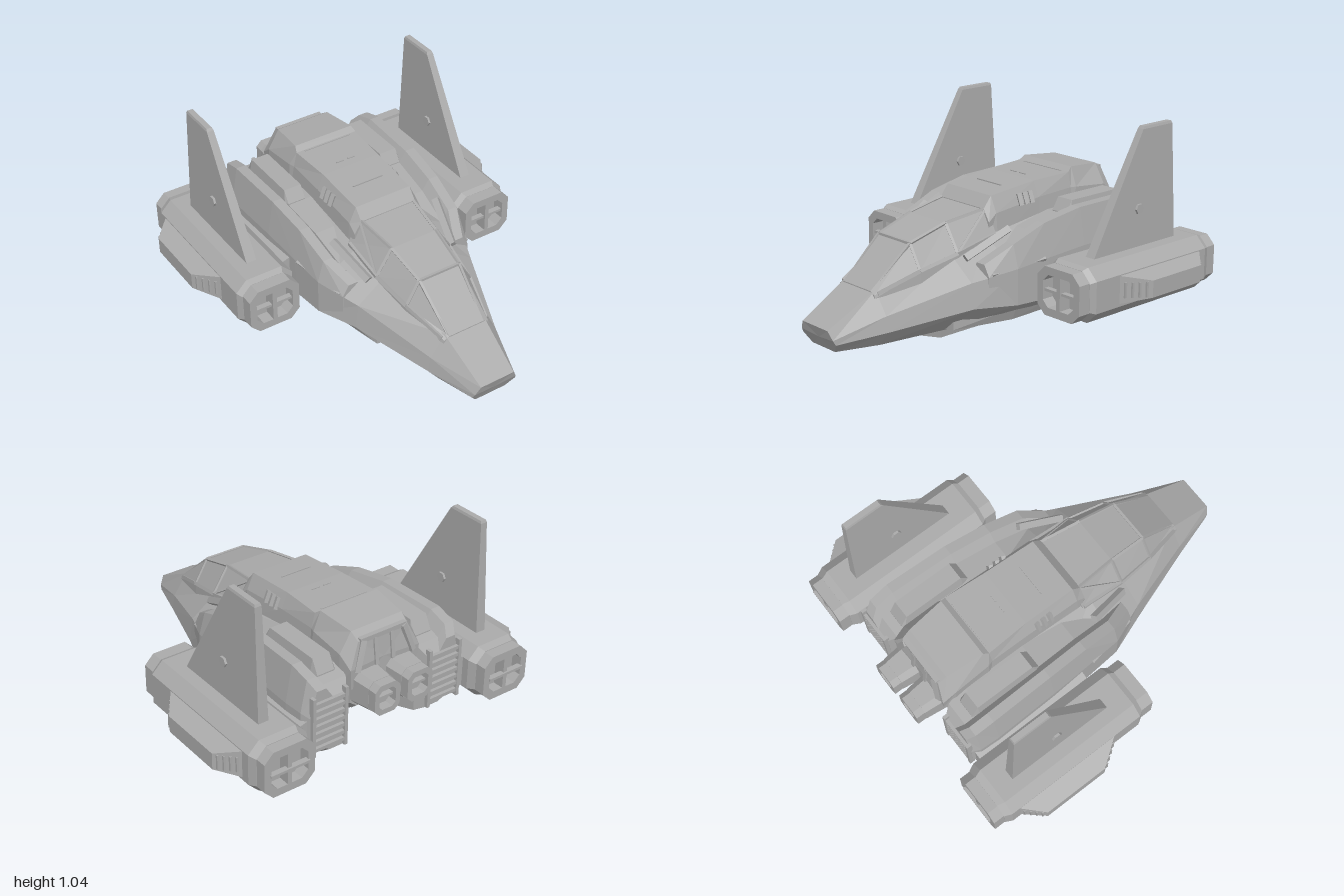
import * as THREE from 'three';

const grey = new THREE.MeshStandardMaterial({ color: 0xaaaaaa, flatShading: true });
grey.name = 'hull grey';

// Skin between closed rings of [x, y, z] points, capped, always facing outward
function loft(rings) {
  const tris = [], n = rings[0].length;
  const R = rings.map(r => r.map(p => new THREE.Vector3(...p)));
  for (let i = 0; i + 1 < R.length; i++) for (let j = 0; j < n; j++) {
    const k = (j + 1) % n, a = R[i][j], b = R[i][k], c = R[i + 1][k], d = R[i + 1][j];
    tris.push([a, b, c], [a, c, d]);
  }
  const cap = (r, flip) => {
    const m = r.reduce((s, p) => s.add(p), new THREE.Vector3()).divideScalar(n);
    r.forEach((p, j) => tris.push(flip ? [m, r[(j + 1) % n], p] : [m, p, r[(j + 1) % n]]));
  };
  cap(R[0], true);
  cap(R[R.length - 1], false);
  const vol = tris.reduce((s, [a, b, c]) => s + a.dot(b.clone().cross(c)), 0);
  const pts = tris.flatMap(([a, b, c]) => (vol < 0 ? [a, c, b] : [a, b, c]));
  const g = new THREE.BufferGeometry().setFromPoints(pts);
  g.computeVertexNormals();
  return g;
}

// Symmetric ring from half a section; a third value shifts the point in z
const half = (z, pts) => [
  ...pts.map(([x, y, dz = 0]) => [x, y, z + dz]),
  ...pts.slice().reverse().map(([x, y, dz = 0]) => [-x, y, z + dz])];
const ring = (z, pts) => pts.map(([x, y]) => [x, y, z]);

// Chamfered rectangle
const octagon = (cx, cy, w, h, c) => [
  [cx - w + c, cy - h], [cx + w - c, cy - h], [cx + w, cy - h + c], [cx + w, cy + h - c],
  [cx + w - c, cy + h], [cx - w + c, cy + h], [cx - w, cy + h - c], [cx - w, cy - h + c]];

const box = (x, y, z, w, h, d) => new THREE.BoxGeometry(w, h, d).translate(x, y, z);

// Square bar between two points
function beam(a, b, t = 0.014) {
  const A = new THREE.Vector3(...a), B = new THREE.Vector3(...b);
  const q = new THREE.Quaternion().setFromUnitVectors(new THREE.Vector3(0, 0, 1), B.clone().sub(A).normalize());
  return new THREE.BoxGeometry(t, t, A.distanceTo(B)).applyQuaternion(q).translate(...A.add(B).multiplyScalar(0.5).toArray());
}

// Plate with openings, extruded along z
function frame(outline, holes, z, depth) {
  const v = p => p.map(([x, y]) => new THREE.Vector2(x, y));
  const s = new THREE.Shape(v(outline));
  holes.forEach(h => s.holes.push(new THREE.Path(v(h))));
  return new THREE.ExtrudeGeometry(s, { depth, bevelEnabled: false }).translate(0, 0, z);
}

function mirrored(geo) {
  const g = geo.index ? geo.toNonIndexed() : geo.clone();
  const p = g.attributes.position;
  for (let i = 0; i < p.count; i += 3) {
    const t = [0, 2, 1].map(k => new THREE.Vector3().fromBufferAttribute(p, i + k));
    t.forEach((v, k) => p.setXYZ(i + k, -v.x, v.y, v.z));
  }
  g.computeVertexNormals();
  return g;
}

export function createModel() {
  const model = new THREE.Group();
  model.name = 'spacecraft';
  const add = (name, geo) => {
    const m = new THREE.Mesh(geo, grey);
    m.name = name;
    model.add(m);
  };
  const pair = (name, geo) => {
    add(name + 'Left', geo);
    add(name + 'Right', mirrored(geo));
  };

  // Lower hull, from blunt nose to narrow tail
  add('hull', loft([
    half(1, [[0.09, 0.065, -0.05], [0.13, 0.115, -0.025], [0.125, 0.14, -0.012], [0.1, 0.187]]),
    half(0.72, [[0.15, 0.06], [0.215, 0.14], [0.2, 0.22], [0.12, 0.335]]),
    half(0.3, [[0.21, 0.06], [0.37, 0.2], [0.35, 0.33], [0.2, 0.44]]),
    half(0.08, [[0.25, 0.06], [0.45, 0.19], [0.44, 0.37], [0.21, 0.5]]),
    half(-0.33, [[0.27, 0.07], [0.46, 0.17], [0.46, 0.38], [0.21, 0.55]]),
    half(-0.55, [[0.2, 0.11], [0.25, 0.15], [0.25, 0.38], [0.2, 0.56]]),
    half(-0.83, [[0.15, 0.33], [0.19, 0.36], [0.19, 0.5], [0.18, 0.56]])]));

  // Belly keel with two skids
  const keel = (x0, x1, y) => loft([[0.52, 0.065], [0.34, y], [-0.4, y], [-0.49, y + 0.02], [-0.53, 0.11]]
    .map(([z, b]) => [[x0, b, z], [x1 - 0.02, b, z], [x1, 0.12, z], [x0, 0.12, z]]));
  add('belly', keel(-0.14, 0.14, 0.03));
  pair('skid', keel(0.1, 0.18, 0.003));
  pair('bellyFlap', loft([
    [[0.2, 0.065, 0.35], [0.27, 0.075, 0.35], [0.27, 0.14, 0.35], [0.2, 0.14, 0.35]],
    [[0.23, 0.05, 0], [0.33, 0.065, 0], [0.36, 0.14, 0], [0.23, 0.14, 0]],
    [[0.23, 0.055, -0.33], [0.33, 0.07, -0.33], [0.36, 0.14, -0.33], [0.23, 0.14, -0.33]]]));

  // Canopy and its frames
  add('canopy', loft([
    half(0.74, [[0.14, 0.3], [0.135, 0.315], [0.105, 0.33]]),
    half(0.5, [[0.2, 0.32], [0.195, 0.4], [0.12, 0.525]]),
    half(0.28, [[0.23, 0.38], [0.225, 0.45], [0.135, 0.59]]),
    half(0.02, [[0.23, 0.42], [0.225, 0.5], [0.16, 0.625]])]));
  const corner = [[0.105, 0.333, 0.72], [0.12, 0.525, 0.5], [0.135, 0.59, 0.28], [0.16, 0.625, 0.03]];
  const sill = [[0.135, 0.32, 0.72], [0.195, 0.4, 0.5], [0.225, 0.45, 0.28], [0.225, 0.5, 0.03]];
  for (let i = 0; i < 3; i++) {
    pair('canopyRail' + i, beam(corner[i], corner[i + 1]));
    pair('canopySill' + i, beam(sill[i], sill[i + 1], 0.018));
  }
  pair('windowPost', beam(sill[1], corner[1]));
  pair('rearWindowPost', beam(sill[2], corner[2]));
  pair('rearWindowBrace', beam(sill[2], corner[3], 0.012));
  corner.slice(0, 2).forEach(([x, y, z], i) => add('windshieldBar' + i, beam([-x, y, z], [x, y, z])));

  // Raised spine behind the cockpit
  add('spine', loft([
    half(0.05, [[0.2, 0.45], [0.205, 0.56], [0.165, 0.625]]),
    half(0, [[0.22, 0.45], [0.205, 0.6], [0.165, 0.685]]),
    half(-0.3, [[0.22, 0.45], [0.205, 0.63], [0.17, 0.713]]),
    half(-0.54, [[0.22, 0.45], [0.205, 0.64], [0.185, 0.72]]),
    half(-0.57, [[0.22, 0.45], [0.215, 0.64], [0.175, 0.743]]),
    half(-0.78, [[0.22, 0.45], [0.22, 0.62], [0.155, 0.725]]),
    half(-0.83, [[0.2, 0.45, -0.02], [0.21, 0.56, -0.025], [0.15, 0.69]])]));
  pair('tailPost', beam([0.17, 0.54, -0.85], [0.12, 0.69, -0.83], 0.03));
  pair('tailRib', beam([0.05, 0.54, -0.85], [0.05, 0.68, -0.83], 0.02));
  add('tailBeam', beam([-0.14, 0.69, -0.825], [0.14, 0.69, -0.825], 0.025));
  add('hatchSeamFront', box(0, 0.7, -0.14, 0.18, 0.008, 0.006));
  add('hatchSeamRear', box(0, 0.719, -0.53, 0.28, 0.008, 0.008));
  pair('hatchLatch', box(0.035, 0.715, -0.35, 0.045, 0.008, 0.007));
  for (let i = 0; i < 3; i++)
    pair('spineVent' + i, beam([0.212, 0.61, -0.17 - i * 0.04], [0.188, 0.67, -0.17 - i * 0.04], 0.022));

  // Side pods with rear grilles
  const pod = (z, xi, xo, yb, ys, yt) => ring(z, [[xi, yb], [xo - 0.12, yb], [xo, yb + 0.06], [xo, ys],
    [xo - 0.035, yt], [xo - 0.09, yt], [xo - 0.13, yt - 0.06], [xi, yt - 0.06]]);
  pair('sidePod', loft([
    pod(0.22, 0.2, 0.39, 0.15, 0.35, 0.41),
    pod(0.08, 0.19, 0.45, 0.13, 0.38, 0.5),
    pod(-0.12, 0.19, 0.465, 0.125, 0.4, 0.575),
    pod(-0.36, 0.19, 0.48, 0.125, 0.42, 0.615),
    pod(-0.72, 0.2, 0.49, 0.125, 0.42, 0.62),
    pod(-0.83, 0.22, 0.485, 0.15, 0.42, 0.59),
    pod(-0.875, 0.25, 0.46, 0.18, 0.4, 0.54)]));
  pair('podTopBox', loft([[-0.36, 0.56], [-0.4, 0.625], [-0.74, 0.625], [-0.78, 0.55]].map(([z, y]) =>
    ring(z, [[0.23, 0.5], [0.37, 0.5], [0.35, y], [0.25, y]]))));
  pair('podIntakeLip', beam([0.26, 0.43, 0.26], [0.32, 0.55, 0.02], 0.035));
  pair('podShoulder', beam([0.39, 0.36, 0.2], [0.46, 0.4, -0.1], 0.02));
  for (let i = 0; i < 7; i++)
    pair('grilleSlat' + i, box(0.355, 0.22 + i * 0.042, -0.88, 0.18, 0.018, 0.025));
  [0.26, 0.45].forEach((x, i) => pair('grilleSide' + i, box(x, 0.35, -0.88, 0.018, 0.33, 0.03)));

  // Twin tail engines with hollow nozzles
  pair('tailEngine', loft([
    ring(-0.78, octagon(0.1, 0.44, 0.095, 0.1, 0.035)),
    ring(-0.95, octagon(0.1, 0.445, 0.078, 0.085, 0.03))]));
  pair('tailNozzle', frame(octagon(0.1, 0.445, 0.076, 0.083, 0.03),
    [octagon(0.1, 0.445, 0.05, 0.055, 0.02)], -1, 0.05));
  pair('nozzleBar', box(0.1, 0.445, -0.965, 0.1, 0.012, 0.03));

  // Outboard nacelles with four-part openings at both ends
  const nx = 0.67, ny = 0.288;
  pair('nacelle', loft([
    ring(-0.05, octagon(nx, ny, 0.145, 0.128, 0.055)),
    ring(-0.08, octagon(nx, ny, 0.163, 0.143, 0.06)),
    ring(-0.9, octagon(nx, ny, 0.163, 0.143, 0.06)),
    ring(-0.94, octagon(nx, ny, 0.145, 0.13, 0.055))]));
  const port = s => [[0.012, -0.085], [0.07, -0.085], [0.105, -0.05], [0.105, 0.05], [0.07, 0.085], [0.012, 0.085]]
    .map(([x, y]) => [nx + s * x, ny + y]);
  [['front', -0.06, 0.01], ['rear', -1, -0.98]].forEach(([end, z, bar]) => {
    pair(end + 'Cap', frame(octagon(nx, ny, 0.143, 0.127, 0.05), [port(1), port(-1)], z, end === 'front' ? 0.08 : 0.07));
    pair(end + 'CapBar', box(nx, ny, bar - 0.015, 0.22, 0.014, 0.03));
  });
  pair('strut', loft([[0.42, 0.04], [0.54, 0]].map(([x, e]) =>
    [[x, 0.22 - e, -0.17], [x, 0.36 + e, -0.17], [x, 0.36 + e, -0.86], [x, 0.22 - e, -0.86]])));

  // Outboard stub wings with slatted slanted ends
  pair('stubWing', loft([[0.8, 0.215, 0.375, -0.21, -0.89], [0.835, 0.22, 0.365, -0.25, -0.85],
    [0.93, 0.245, 0.335, -0.385, -0.75]].map(([x, y0, y1, z0, z1]) =>
    [[x, y0, z0], [x, y1, z0], [x, y1, z1], [x, y0, z1]])));
  for (let i = 0; i < 4; i++) {
    const t = 0.15 + i * 0.22, x = 0.835 + 0.095 * t;
    pair('frontSlat' + i, beam([x, 0.25, -0.25 - 0.135 * t], [x, 0.33, -0.25 - 0.135 * t], 0.012));
    pair('rearSlat' + i, beam([x, 0.25, -0.85 + 0.1 * t], [x, 0.33, -0.85 + 0.1 * t], 0.012));
  }

  // Tall swept fins
  const slab = (y, w, z0, z1) => [[nx + 0.005 - w, y, z0], [nx + 0.005 + w, y, z0], [nx + 0.005 + w, y, z1], [nx + 0.005 - w, y, z1]];
  pair('fin', loft([slab(0.42, 0.029, -0.19, -0.8), slab(1.035, 0.019, -0.545, -0.765), slab(1.048, 0.015, -0.555, -0.76)]));
  pair('finStud', new THREE.CylinderGeometry(0.028, 0.028, 0.075, 6).rotateZ(Math.PI / 2).translate(nx + 0.005, 0.63, -0.52));
  return model;
}
